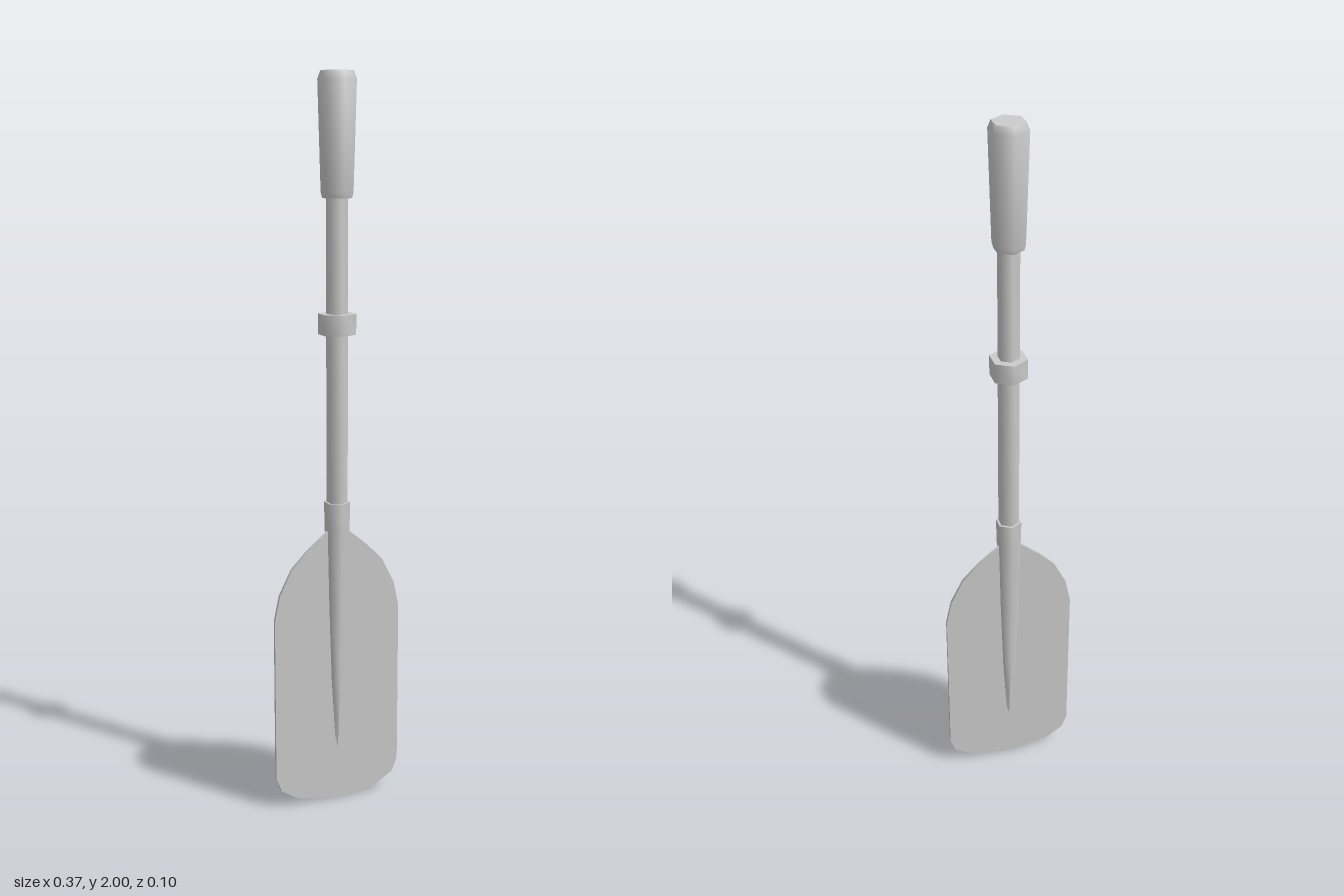
import * as THREE from 'three';
import { toCreasedNormals } from 'three/addons/utils/BufferGeometryUtils.js';

const material = new THREE.MeshStandardMaterial({ color: 0xcccccc });

// Six-sided turned part from [radius, y] points, listed bottom to top
function turned(name, points) {
  const profile = points.map(([r, y]) => new THREE.Vector2(r, y));
  const geometry = toCreasedNormals(new THREE.LatheGeometry(profile, 6), 1.13);
  const mesh = new THREE.Mesh(geometry, material);
  mesh.name = name;
  return mesh;
}

// Flat blade, mirrored from one half outline
function makeBlade() {
  const half = [
    [0.117, 0.018], [0.17, 0.05], [0.185, 0.09], [0.185, 0.55],
    [0.17, 0.62], [0.135, 0.69], [0.09, 0.737], [0.03, 0.787],
  ];
  const mirrored = half.map(([x, y]) => [-x, y]).reverse();
  const outline = [[0, 0], ...half, ...mirrored].map(([x, y]) => new THREE.Vector2(x, y));
  const depth = 0.009;
  const geometry = new THREE.ExtrudeGeometry(new THREE.Shape(outline), { depth, bevelEnabled: false });
  geometry.translate(0, 0, -depth / 2);
  const mesh = new THREE.Mesh(toCreasedNormals(geometry, 0.7), material);
  mesh.name = 'blade';
  return mesh;
}

export function createModel() {
  const paddle = new THREE.Group();
  paddle.name = 'paddle';
  paddle.add(
    makeBlade(),
    // Socket that tapers into a spine down both faces of the blade
    turned('bladeSpine', [
      [0, 0.12], [0.009, 0.19], [0.021, 0.36], [0.029, 0.58],
      [0.034, 0.79], [0.036, 0.868], [0.028, 0.868],
    ]),
    turned('shaft', [[0.029, 0.8], [0.029, 1.7]]),
    turned('collar', [[0.028, 1.325], [0.051, 1.325], [0.051, 1.38], [0.028, 1.38]]),
    // Grip, a little wider towards its bevelled top
    turned('grip', [
      [0.028, 1.68], [0.039, 1.68], [0.043, 1.695],
      [0.051, 1.98], [0.043, 2], [0, 2],
    ]),
  );
  return paddle;
}
